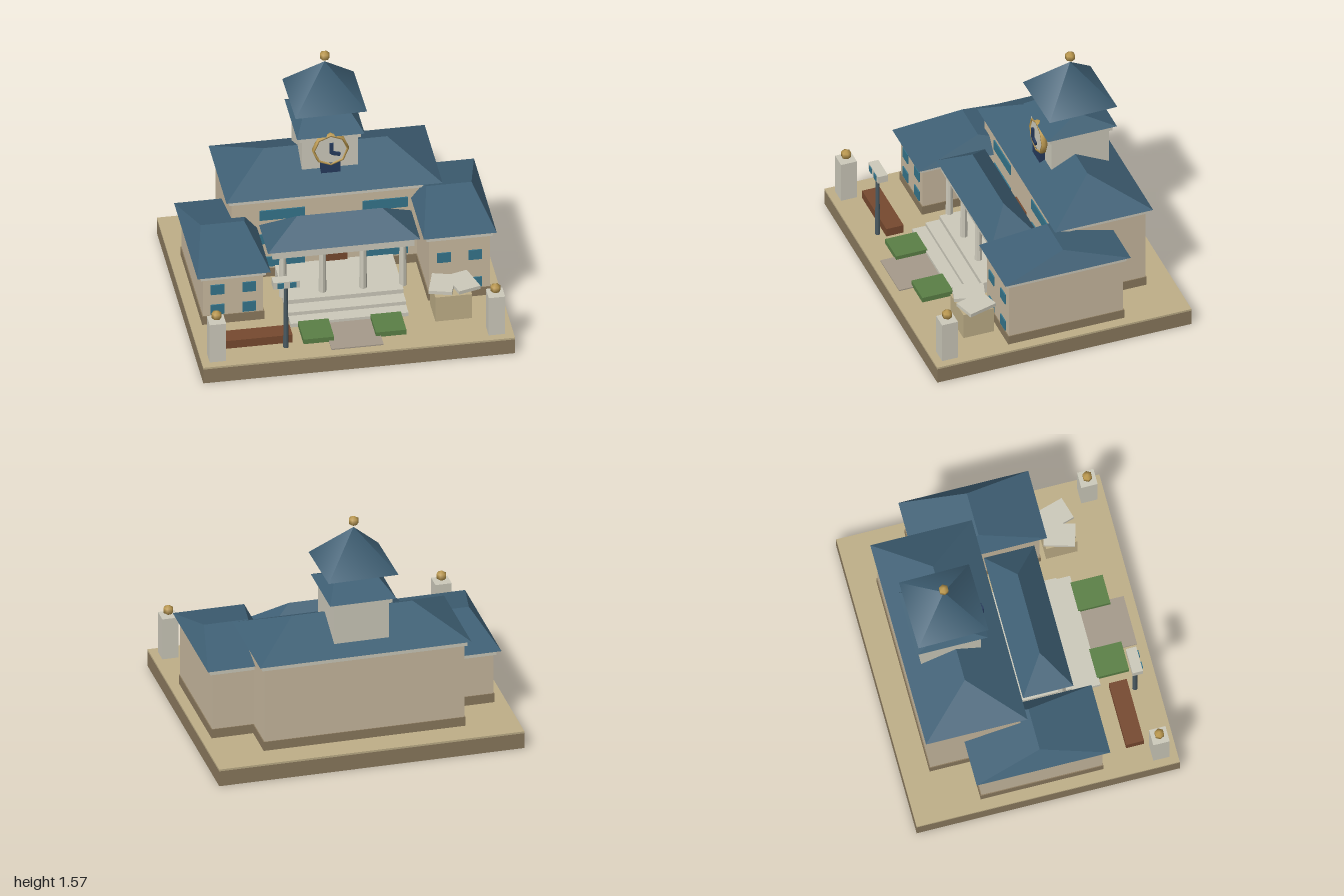
import * as THREE from 'three';

const C = {
  wall: 0xc9baa0, trim: 0xcdcabb, roof: 0x3f6075, brown: 0x8b7a5e, sand: 0xbfaf88,
  glass: 0x35758c, door: 0x77492f, gold: 0xbd9a50, navy: 0x263a5c, grass: 0x5b8046,
  path: 0xa69b8b, post: 0x4a5a62,
};
const mats = {};
for (const k in C) mats[k] = new THREE.MeshStandardMaterial({ color: C[k], flatShading: k !== 'gold' && k !== 'roof' });

export function createModel() {
  const model = new THREE.Group();

  const add = (name, geo, mat, x = 0, y = 0, z = 0, parent = model) => {
    const m = new THREE.Mesh(geo, mats[mat]);
    m.name = name;
    m.position.set(x, y, z);
    parent.add(m);
    return m;
  };
  // Box given by its extents along each axis
  const box = (name, mat, x0, x1, y0, y1, z0, z1, parent) =>
    add(name, new THREE.BoxGeometry(x1 - x0, y1 - y0, z1 - z0), mat,
      (x0 + x1) / 2, (y0 + y1) / 2, (z0 + z1) / 2, parent);

  // Closed hip roof with its ridge along x
  const hipRoof = (name, x0, x1, y0, y1, z0, z1, ridge, parent) => {
    const w = (x1 - x0) / 2, d = (z1 - z0) / 2, h = y1 - y0;
    const P = [[-w, 0, -d], [w, 0, -d], [w, 0, d], [-w, 0, d], [ridge, h, 0], [-ridge, h, 0]];
    const faces = [3, 2, 4, 3, 4, 5, 2, 1, 4, 1, 0, 5, 1, 5, 4, 0, 3, 5, 0, 1, 2, 0, 2, 3];
    const geo = new THREE.BufferGeometry();
    geo.setAttribute('position', new THREE.Float32BufferAttribute(faces.flatMap(i => P[i]), 3));
    geo.computeVertexNormals();
    return add(name, geo, 'roof', (x0 + x1) / 2, y0, (z0 + z1) / 2, parent);
  };

  // Walls on a plinth, with a cornice and a hip roof
  const block = (name, x0, x1, z0, z1, eave, top, ridge, over) => {
    const g = new THREE.Group();
    g.name = name;
    model.add(g);
    const p = 0.006, c = 0.016;
    box('plinth', 'brown', x0 - p, x1 + p, 0.118, 0.18, z0 - p, z1 + p, g);
    box('walls', 'wall', x0, x1, 0.12, eave - 0.03, z0, z1, g);
    box('cornice', 'trim', x0 - c, x1 + c, eave - 0.035, eave, z0 - c, z1 + c, g);
    hipRoof('roof', x0 - over, x1 + over, eave, top, z0 - over, z1 + over, ridge, g);
  };
  const window_ = (x, y, z, w, h = 0.072) =>
    box('window', 'glass', x - w / 2, x + w / 2, y - h / 2, y + h / 2, z - 0.012, z + 0.008);

  // Ground slab
  box('baseSlab', 'brown', -1, 1, 0, 0.105, -0.86, 0.86);
  box('groundTop', 'sand', -1, 1, 0.105, 0.118, -0.86, 0.86);

  // Building masses
  block('mainBuilding', -0.655, 0.655, -0.68, -0.092, 0.725, 0.895, 0.395, 0.038);
  block('rightWing', -0.918, -0.532, -0.415, 0.375, 0.493, 0.605, 0.14, 0.042);
  block('leftWing', 0.535, 0.927, -0.425, 0.348, 0.607, 0.723, 0.145, 0.038);

  // Windows
  for (const y of [0.23, 0.405, 0.585])
    for (const s of [-1, 1]) window_(s * 0.33, y, -0.092, 0.29);
  for (const x of [-0.825, -0.622]) for (const y of [0.225, 0.375]) window_(x, y, 0.375, 0.087);
  for (const x of [0.632, 0.833]) for (const y of [0.225, 0.433]) window_(x, y, 0.348, 0.087);

  // Door, porch steps, columns, beam and roof
  box('door', 'door', -0.09, 0.088, 0.2, 0.445, -0.1, -0.075);
  [[0.2, 0.32], [0.17, 0.415], [0.145, 0.505]].forEach(([y, z]) =>
    box('porchStep', 'trim', -0.378, 0.378, 0.118, y, -0.1, z));
  for (const x of [-0.385, -0.13, 0.13, 0.385])
    add('column', new THREE.CylinderGeometry(0.022, 0.025, 0.31, 8), 'trim', x, 0.345, 0.25);
  box('porchBeam', 'trim', -0.455, 0.455, 0.495, 0.555, -0.02, 0.28);
  hipRoof('porchRoof', -0.488, 0.488, 0.555, 0.71, -0.03, 0.3, 0.273);

  // Clock tower
  box('towerWalls', 'trim', -0.18, 0.18, 0.68, 1.035, -0.615, -0.225);
  box('towerCornice', 'trim', -0.198, 0.198, 1.03, 1.068, -0.632, -0.208);
  hipRoof('towerRoof', -0.217, 0.217, 1.068, 1.172, -0.655, -0.187, 0.122);
  const spire = add('spire', new THREE.ConeGeometry(0.325, 0.26, 4), 'roof', 0, 1.36, -0.42);
  spire.rotation.y = 0.8;
  const ball = (name, x, y, z) => add(name, new THREE.SphereGeometry(0.036, 6, 3), 'gold', x, y, z);
  ball('spireBall', 0, 1.533, -0.42);

  // Clock
  const ring = add('clockRing', new THREE.TorusGeometry(0.109, 0.011, 6, 8), 'gold', 0, 0.965, -0.205);
  ring.scale.z = 2;
  const face = add('clockFace', new THREE.CylinderGeometry(0.108, 0.108, 0.035, 8), 'trim', 0, 0.965, -0.21);
  face.rotation.x = Math.PI / 2;
  box('minuteHand', 'navy', -0.011, 0.013, 0.955, 1.03, -0.175, -0.16);
  const hand = box('hourHand', 'navy', 0, 0.057, 0.94, 0.962, -0.175, -0.16);
  hand.rotation.z = -0.25;
  box('clockBracket', 'navy', -0.063, 0.063, 0.79, 0.868, -0.23, -0.19);

  // Gate pillars
  for (const x of [-0.897, 0.893]) {
    box('gatePillar', 'trim', x - 0.053, x + 0.053, 0.118, 0.402, 0.7, 0.807);
    ball('pillarBall', x, 0.437, 0.753);
  }

  // Path, lawns and planter
  box('path', 'path', -0.167, 0.167, 0.11, 0.126, 0.4, 0.8);
  for (const s of [-1, 1]) {
    const x = s * 0.232;
    box('lawn', 'grass', x - 0.098, x + 0.098, 0.118, 0.153, 0.495, 0.705);
  }
  box('planter', 'door', -0.825, -0.395, 0.118, 0.176, 0.555, 0.672);

  // Lamp post with lit panels
  add('lampPost', new THREE.CylinderGeometry(0.012, 0.018, 0.475, 8), 'post', -0.445, 0.355, 0.713);
  box('lampHead', 'trim', -0.53, -0.36, 0.582, 0.632, 0.675, 0.743);
  for (const x of [-0.483, -0.403])
    box('lampPanel', 'glass', x - 0.02, x + 0.02, 0.588, 0.626, 0.735, 0.75);

  // Pedestal with an open book
  box('pedestal', 'sand', 0.535, 0.77, 0.118, 0.3, 0.39, 0.595);
  for (const s of [-1, 1]) {
    const leaf = add('bookLeaf', new THREE.BoxGeometry(0.15, 0.024, 0.2), 'trim', 0.662 + s * 0.067, 0.328, 0.493);
    leaf.rotation.y = s * 0.28;
  }
  return model;
}
